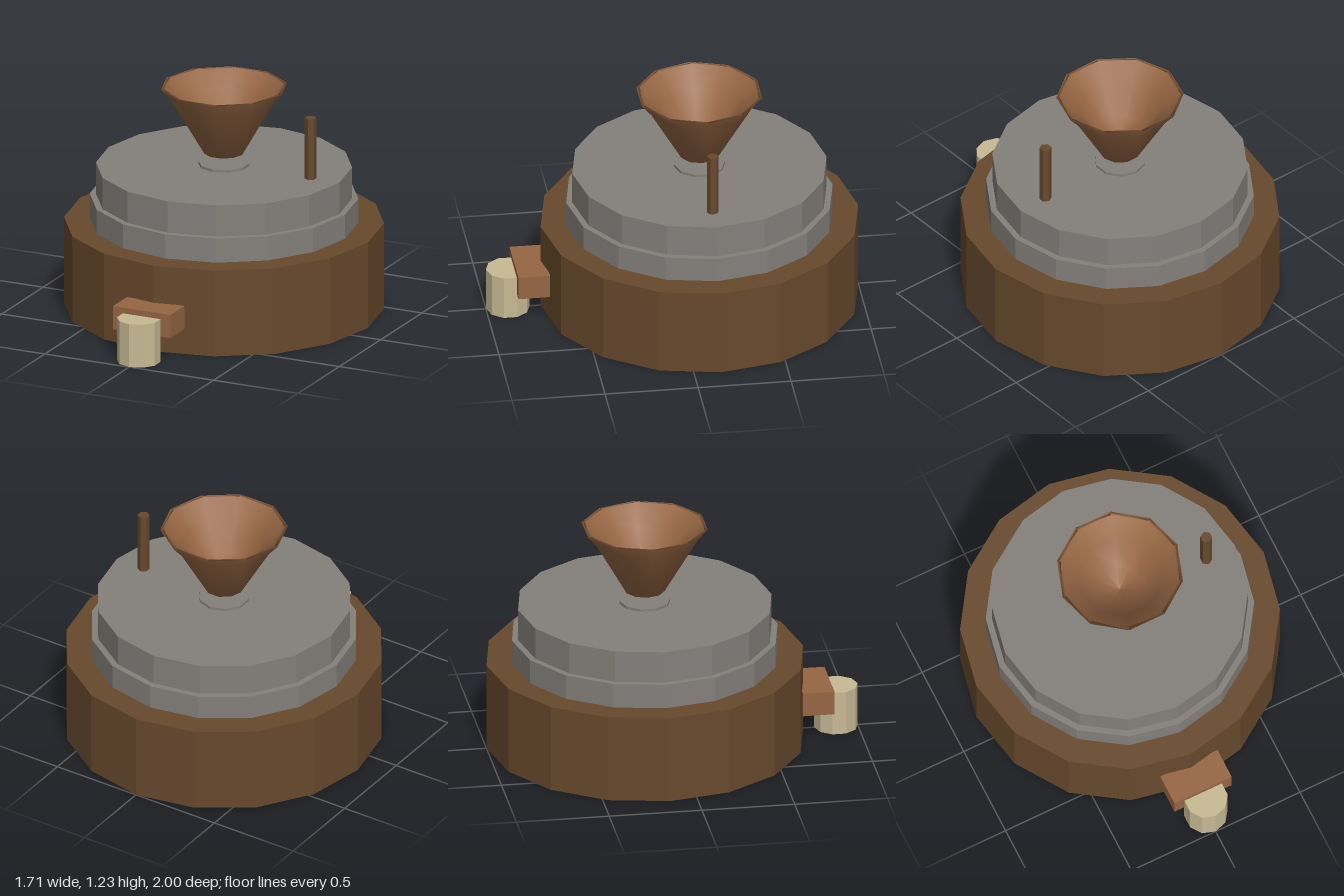
import * as THREE from 'three';

const mat = (name, color, flatShading = true) => {
  const m = new THREE.MeshStandardMaterial({ color, flatShading });
  m.name = name;
  return m;
};

export function createModel() {
  const darkWood = mat('darkWood', 0x68492d);
  const lightWood = mat('lightWood', 0x966643);
  const stone = mat('stone', 0x84807c);
  const cream = mat('cream', 0xc8ba94);
  lightWood.flatShading = false; // the hopper is smooth, the block has hard normals anyway

  const group = new THREE.Group();
  group.name = 'millstone';
  const axisZ = -0.147;

  const add = (name, geometry, material, x, y, z) => {
    const mesh = new THREE.Mesh(geometry, material);
    mesh.name = name;
    mesh.position.set(x, y, z);
    group.add(mesh);
    return mesh;
  };
  // Upright prism between two heights
  const drum = (name, r, y0, y1, sides, material, x = 0, z = axisZ) =>
    add(name, new THREE.CylinderGeometry(r, r, y1 - y0, sides), material, x, (y0 + y1) / 2, z);

  // Wooden tub and the two stones
  drum('tub', 0.853, 0, 0.48, 16, darkWood);
  drum('lowerStone', 0.716, 0.48, 0.615, 16, stone);
  drum('upperStone', 0.683, 0.615, 0.79, 16, stone);
  drum('stoneEye', 0.137, 0.79, 0.805, 10, stone);

  // Turning handle
  drum('handle', 0.032, 0.79, 1.13, 6, darkWood, 0.512);

  // Hollow hopper with a flared lip, floating above the eye
  const profile = [
    [0, 0.86], [0.107, 0.86], [0.285, 1.165], [0.34, 1.23],
    [0.32, 1.23], [0.275, 1.17], [0.22, 1.13], [0.12, 1.0], [0, 0.95],
  ].map(([r, y]) => new THREE.Vector2(r, y));
  add('hopper', new THREE.LatheGeometry(profile, 10, Math.PI / 2), lightWood, 0, 0, axisZ);

  // Flour spout and the sack below it
  add('spout', new THREE.BoxGeometry(0.34, 0.13, 0.17), lightWood, 0, 0.207, 0.764);
  drum('sack', 0.117, 0, 0.24, 10, cream, 0, 0.883);

  return group;
}
